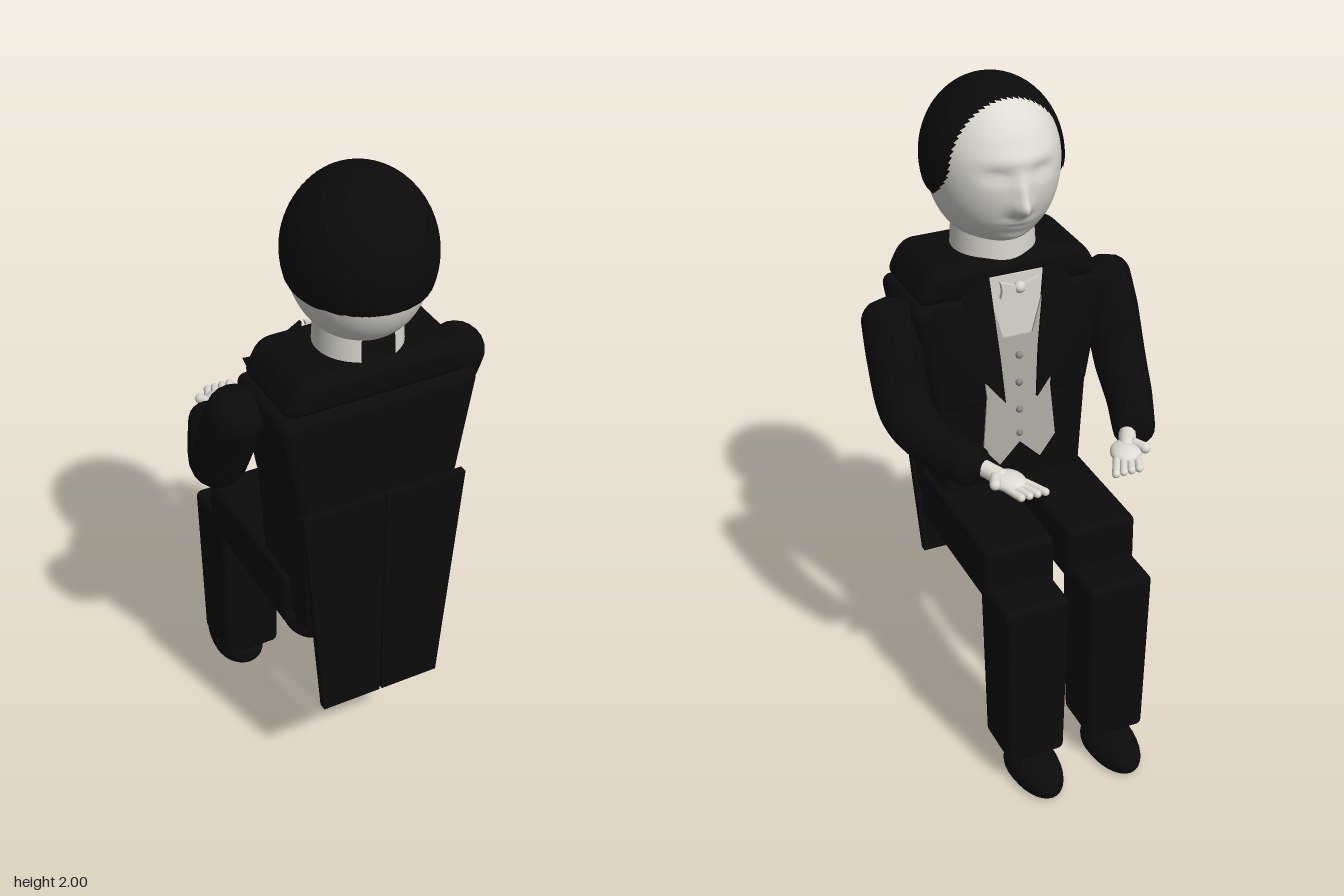
import * as THREE from 'three';
import { RoundedBoxGeometry } from 'three/addons/geometries/RoundedBoxGeometry.js';

const mat = (name, color, side = THREE.FrontSide) => {
  const m = new THREE.MeshStandardMaterial({ color, side });
  m.name = name;
  return m;
};

export function createModel() {
  const black = mat('black cloth', 0x0b0b0b);
  const skin = mat('pale skin', 0xdedbd2);
  const white = mat('white linen', 0xd8d5cc, THREE.DoubleSide);
  const grey = mat('grey waistcoat', 0xb0ada5);
  const buttonGrey = mat('button grey', 0x8a8882);

  const model = new THREE.Group();
  model.name = 'seatedFigure';
  const add = (name, geo, material, x = 0, y = 0, z = 0) => {
    const m = new THREE.Mesh(geo, material);
    m.name = name;
    m.position.set(x, y, z);
    model.add(m);
    return m;
  };
  // Move every vertex by a rule
  const warp = (geo, rule) => {
    const p = geo.attributes.position, v = new THREE.Vector3();
    for (let i = 0; i < p.count; i++) {
      v.fromBufferAttribute(p, i);
      rule(v, i);
      p.setXYZ(i, v.x, v.y, v.z);
    }
    geo.computeVertexNormals();
    return geo;
  };
  // Rounded box between two heights; the bottom is scaled by kx, kz
  const block = (name, cx, hw, y0, y1, z0, z1, r, kx = 1, kz = 1) => {
    const h = y1 - y0;
    const g = new RoundedBoxGeometry(hw * 2, h, z1 - z0, 3, r);
    warp(g, (v) => {
      const t = v.y / h + 0.5;
      v.x *= kx + (1 - kx) * t;
      v.z *= kz + (1 - kz) * t;
    });
    return add(name, g, black, cx, (y0 + y1) / 2, (z0 + z1) / 2);
  };
  // Thin plate from an outline in x, y, leaning along z
  const plate = (name, pts, depth, z, lean, material) => {
    const shape = new THREE.Shape(pts.map(([x, y]) => new THREE.Vector2(x, y)));
    const g = new THREE.ExtrudeGeometry(shape, { depth, bevelEnabled: false });
    warp(g, (v) => { v.z += z + (v.y - 1.08) * lean; });
    return add(name, g, material);
  };

  // Jacket body
  block('shoulders', 0, 0.235, 1.395, 1.505, 0.11, 0.397, 0.04, 1.25);
  block('jacketChest', 0, 0.302, 1.04, 1.4, 0.1, 0.4, 0.035, 0.79);
  block('jacketWaist', 0, 0.242, 0.63, 1.09, 0.105, 0.388, 0.025, 0.88);

  // Head: an egg shape with brow, sockets, nose, lips and chin
  const bump = (v, x, y, sx, sy) => Math.exp(-(((v.x - x) / sx) ** 2) - ((v.y - y) / sy) ** 2);
  const head = new THREE.SphereGeometry(1, 80, 64);
  warp(head, (v) => {
    const front = v.z < 0;
    if (v.y < 0) {
      const fuller = Math.pow(Math.max(1 - v.y * v.y, 1e-6), -0.11);
      v.x *= fuller;
      v.z *= fuller;
    }
    v.set(v.x * 0.19, v.y * (v.y < 0 ? 0.235 : 0.215), v.z * 0.21);
    if (!front) return;
    v.z -= 0.038 * bump(v, 0, -0.085, 0.026, 0.028);
    v.z -= 0.026 * bump(v, 0, -0.045, 0.017, 0.045);
    v.z -= 0.007 * bump(v, 0, 0.055, 0.1, 0.02);
    v.z -= 0.011 * bump(v, 0, -0.135, 0.045, 0.009);
    v.z -= 0.009 * bump(v, 0, -0.157, 0.036, 0.009);
    v.z -= 0.016 * bump(v, 0, -0.2, 0.06, 0.025);
    for (const s of [-1, 1]) {
      v.z += 0.013 * bump(v, s * 0.066, 0.012, 0.034, 0.02);
      v.z -= 0.006 * bump(v, s * 0.066, 0.008, 0.02, 0.012);
    }
  });
  add('head', head, skin, 0, 1.77, 0.245);

  // Hair: rings from the back of the head to the hairline, flat at the nape
  const hair = new THREE.SphereGeometry(1, 64, 48);
  warp(hair, (v) => {
    const theta = Math.acos(THREE.MathUtils.clamp(v.y, -1, 1));
    const a = Math.atan2(v.z, v.x);
    const low = THREE.MathUtils.clamp((0.12 - Math.sin(a)) / 0.5, 0, 1);
    const t = (theta / Math.PI) * (2.13 - 0.45 * low * low);
    const s = Math.sin(t);
    v.set(-0.203 * s * Math.cos(a), 0.23 * s * Math.sin(a), 0.217 * Math.cos(t));
    v.y = Math.max(v.y, -0.08);
  });
  // The sphere axis was turned to z, so check the winding by mirroring rule above
  const hairMat = mat('black hair', 0x0b0b0b, THREE.DoubleSide);
  add('hair', hair, hairMat, 0, 1.77, 0.25);

  // Stand-up collar, open at the back
  add('shirtCollar', new THREE.CylinderGeometry(0.118, 0.125, 0.12, 40, 1, true, 0.42, Math.PI * 2 - 0.84),
    white, 0, 1.55, 0.25);

  // Shirt front and waistcoat with two points at the hem
  plate('shirtFront', [[-0.1, 1.47], [0.1, 1.47], [0.07, 1.2], [-0.07, 1.2]], 0.006, 0.074, 0.03, white);
  plate('waistcoat', [[0.13, 1.42], [0.09, 1.44], [0.045, 1.28], [-0.045, 1.28], [-0.09, 1.44], [-0.13, 1.42],
    [-0.1, 1.1], [-0.115, 0.93], [-0.065, 0.865], [0, 0.93], [0.065, 0.865], [0.115, 0.93], [0.1, 1.1]],
    0.006, 0.066, 0.03, grey);
  for (const y of [1.22, 1.13, 1.04, 0.96])
    add('waistcoatButton', new THREE.SphereGeometry(0.011, 14, 10), buttonGrey, 0, y, 0.064);

  // Bow tie
  add('bowKnot', new THREE.SphereGeometry(0.018, 16, 12), white, 0, 1.44, 0.06);
  for (const s of [-1, 1])
    plate('bowLoop', [[0, 1.445], [s * 0.06, 1.465], [s * 0.055, 1.44], [s * 0.06, 1.415], [0, 1.435]],
      0.014, 0.048, 0.01, white);

  // Tapered sleeve through [x, y, z, radius] points, rounded at both ends
  const sleeve = (name, pts) => {
    const curve = new THREE.CatmullRomCurve3(pts.map((p) => new THREE.Vector3(p[0], p[1], p[2])));
    const n = 48, sides = 20;
    const g = new THREE.TubeGeometry(curve, n, 1, sides);
    warp(g, (v, i) => {
      const u = Math.floor(i / (sides + 1)) / n;
      const c = curve.getPointAt(u);
      const f = u * (pts.length - 1), k = Math.min(Math.floor(f), pts.length - 2);
      let r = THREE.MathUtils.lerp(pts[k][3], pts[k + 1][3], f - k);
      const e = Math.min(1, u / 0.1, (1 - u) / 0.05);
      r *= Math.sqrt(Math.max(0, 1 - (1 - e) ** 2));
      v.sub(c).multiplyScalar(r).add(c);
    });
    add(name, g, black);
  };
  // Round-ended rod between two points
  const rod = (name, a, b, r) => {
    const A = new THREE.Vector3(...a), B = new THREE.Vector3(...b);
    const d = B.clone().sub(A);
    const m = add(name, new THREE.CapsuleGeometry(r, d.length(), 6, 12), skin);
    m.position.copy(A).add(B).multiplyScalar(0.5);
    m.quaternion.setFromUnitVectors(new THREE.Vector3(0, 1, 0), d.normalize());
  };

  for (const s of [-1, 1]) {
    const side = s > 0 ? 'left' : 'right';

    // Peaked lapel and coat tail
    plate(side + 'Lapel', [[s * 0.085, 1.485], [s * 0.17, 1.43], [s * 0.16, 1.4], [s * 0.255, 1.41],
      [s * 0.2, 1.27], [s * 0.05, 1.08], [s * 0.06, 1.22]], 0.012, 0.046, 0.08, black);
    plate(side + 'CoatTail', [[s * 0.002, 1.09], [s * 0.25, 1.09], [s * 0.187, 0.37], [s * 0.004, 0.37]],
      0.024, 0.402, 0, black);

    // Bent arm
    sleeve(side + 'Arm', [[s * 0.335, 1.4, 0.235, 0.08], [s * 0.342, 1.26, 0.165, 0.083],
      [s * 0.342, 1.105, 0.085, 0.078], [s * 0.315, 1.06, -0.02, 0.067], [s * 0.238, 1.045, -0.21, 0.06]]);

    // Open hand, palm up
    const palm = add(side + 'Palm', new THREE.SphereGeometry(1, 24, 16), skin, s * 0.182, 1.033, -0.265);
    palm.scale.set(0.046, 0.023, 0.056);
    palm.rotation.y = s * 0.45;
    rod(side + 'Wrist', [s * 0.225, 1.043, -0.19], [s * 0.195, 1.036, -0.245], 0.025);
    for (let i = 0; i < 4; i++)
      rod(side + 'Finger', [s * (0.14 + 0.021 * i), 1.03, -0.29], [s * (0.108 + 0.024 * i), 1.026, -0.35], 0.0115);
    rod(side + 'Thumb', [s * 0.215, 1.045, -0.255], [s * 0.23, 1.045, -0.288], 0.016);

    // Trouser leg
    block(side + 'Thigh', s * 0.13, 0.108, 0.603, 0.778, -0.235, 0.28, 0.018);
    block(side + 'Shin', s * 0.132, 0.1, 0.085, 0.65, -0.366, -0.165, 0.02, 0.9, 0.9);

    // Shoe: half dome with a flat sole and a long toe
    const shoe = new THREE.SphereGeometry(1, 32, 20);
    warp(shoe, (v) => {
      const toe = v.z < 0;
      v.y = Math.max(v.y, -0.45);
      v.set(v.x * 0.078, (v.y + 0.45) * (toe ? 0.06 : 0.058), v.z * (toe ? 0.165 : 0.105));
    });
    add(side + 'Shoe', shoe, black, s * 0.13, 0, -0.303);
  }
  return model;
}
